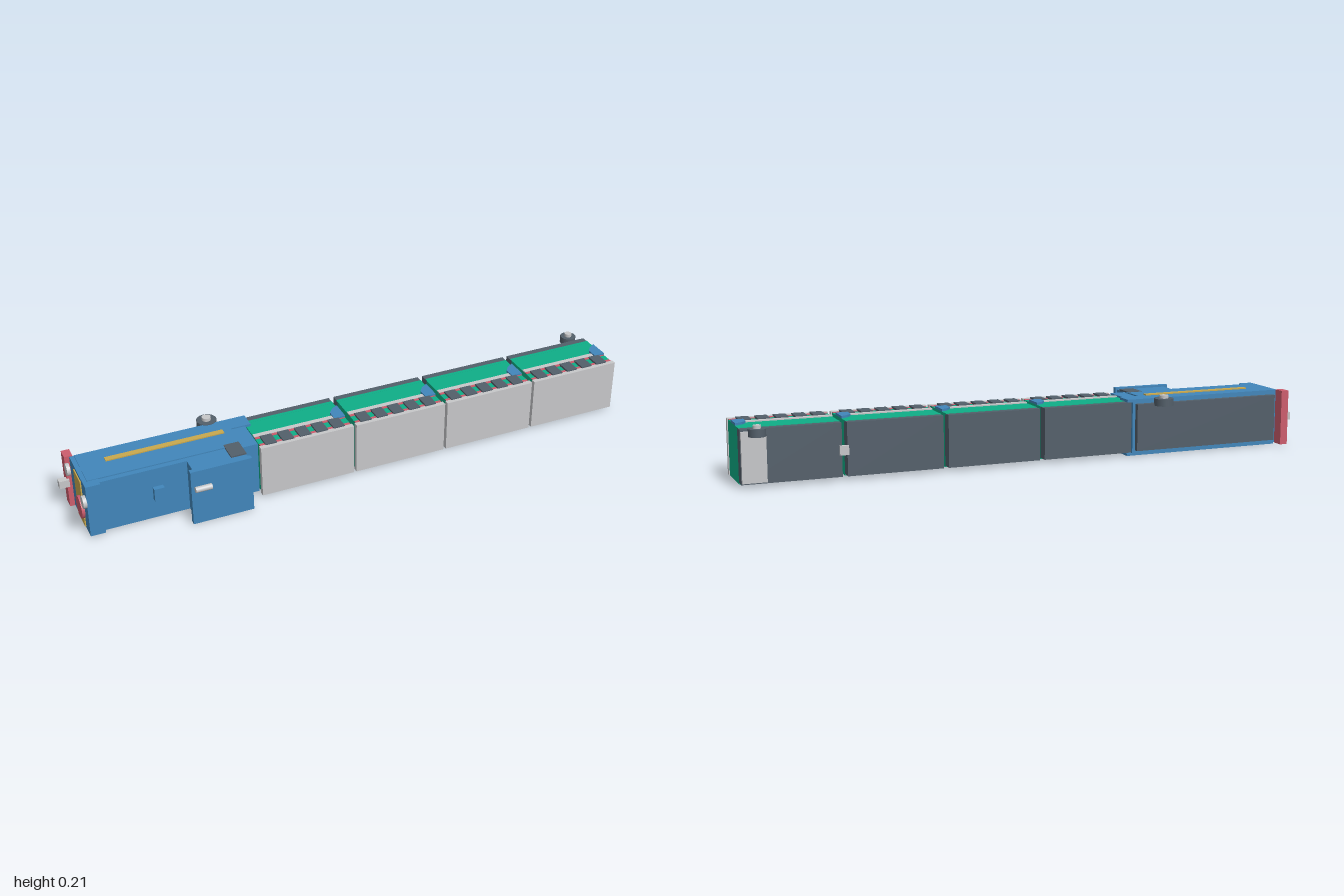
import * as THREE from 'three';

const mat = (name, color) => {
  const m = new THREE.MeshStandardMaterial({ color });
  m.name = name;
  return m;
};

export function createModel() {
  const model = new THREE.Group();
  model.name = 'modularMachine';
  const blue = mat('blue', 0x4186bb), green = mat('green', 0x0fae87), grey = mat('light grey', 0xc6c7c9);
  const dark = mat('dark grey', 0x535f6a), red = mat('red', 0xcc5d6d), yellow = mat('ochre', 0xc8a84e);

  // Box given by its extents on each axis
  const box = (parent, name, material, x0, x1, y0, y1, z0, z1) => {
    const mesh = new THREE.Mesh(new THREE.BoxGeometry(x1 - x0, y1 - y0, z1 - z0), material);
    mesh.position.set((x0 + x1) / 2, (y0 + y1) / 2, (z0 + z1) / 2);
    mesh.name = name;
    parent.add(mesh);
    return mesh;
  };
  // Cylinder along y or x, centred on a point
  const cyl = (parent, name, material, r, len, x, y, z, axis = 'y') => {
    const mesh = new THREE.Mesh(new THREE.CylinderGeometry(r, r, len, 28), material);
    if (axis === 'x') mesh.rotation.z = Math.PI / 2;
    mesh.position.set(x, y, z);
    mesh.name = name;
    parent.add(mesh);
    return mesh;
  };

  // Four equal bed modules
  for (let i = 0; i < 4; i++) {
    const g = new THREE.Group();
    g.name = 'bedModule' + (i + 1);
    const a = -0.37 + i * 0.3435, b = a + 0.334;
    box(g, 'core', green, a + 0.005, b - 0.003, 0.01, 0.193, -0.071, 0.08);
    box(g, 'topSheet', green, a + 0.005, b - 0.003, 0.188, 0.1935, -0.084, -0.071);
    box(g, 'backCover', dark, a + 0.005, b - 0.003, 0.015, 0.192, -0.109, -0.071);
    box(g, 'frontPanel', grey, a, b, 0.01, 0.196, 0.08, 0.098);
    box(g, 'guideRail', grey, a + 0.005, b - 0.004, 0.193, 0.197, 0.006, 0.024);
    box(g, 'markerStrip', red, a + 0.005, b - 0.004, 0.193, 0.1955, 0.024, 0.034);
    box(g, 'frontMarkerStrip', red, a + 0.005, b - 0.004, 0.193, 0.1945, 0.066, 0.08);
    for (let k = 0; k < 5; k++) {
      const x = a + 0.022 + k * 0.061;
      box(g, 'topPad', dark, x, x + 0.04, 0.193, 0.2, 0.029, 0.084);
    }
    // Clip at the joint
    const s = new THREE.Shape([[0.016, 0.03], [0.04, 0.045], [0.04, -0.028], [0, -0.028], [0, 0.01]]
      .map(([x, z]) => new THREE.Vector2(x, z)));
    const clip = new THREE.Mesh(new THREE.ExtrudeGeometry(s, { depth: 0.008, bevelEnabled: false }), blue);
    clip.rotation.x = -Math.PI / 2;
    clip.position.set(b - 0.043, 0.193, 0.003);
    clip.name = 'jointClip';
    g.add(clip);
    model.add(g);
  }
  box(model, 'backConnector', grey, 0.645, 0.675, 0.087, 0.118, -0.119, -0.105);
  box(model, 'rearEndPanel', grey, 0.91, 0.99, 0.02, 0.185, -0.118, -0.109);

  // Drive head housing
  const head = new THREE.Group();
  head.name = 'head';
  box(head, 'housing', blue, -0.94, -0.37, 0.01, 0.198, -0.109, 0.068);
  box(head, 'endFrame', blue, -0.955, -0.905, 0.01, 0.2, -0.109, 0.082);
  box(head, 'topPlate', blue, -0.94, -0.42, 0.197, 0.202, -0.109, 0.05);
  box(head, 'topTongue', blue, -0.42, -0.35, 0.192, 0.202, -0.109, -0.05);
  box(head, 'bottomTongue', blue, -0.94, -0.35, 0.004, 0.012, -0.109, -0.05);
  box(head, 'backPanel', dark, -0.93, -0.38, 0.022, 0.186, -0.127, -0.109);
  box(head, 'topStripe', yellow, -0.855, -0.45, 0.2, 0.206, -0.052, -0.031);
  box(head, 'endStripe', yellow, -0.959, -0.953, 0.015, 0.19, -0.05, 0.03);
  box(head, 'frontSwitch', blue, -0.735, -0.7, 0.084, 0.13, 0.066, 0.085);

  // Control block on the front
  box(head, 'controlBlock', blue, -0.615, -0.425, 0.01, 0.198, 0.066, 0.13);
  box(head, 'controlFace', blue, -0.63, -0.42, 0.003, 0.205, 0.13, 0.147);
  box(head, 'controlTopPanel', dark, -0.478, -0.425, 0.196, 0.203, 0.035, 0.11);
  cyl(head, 'handle', grey, 0.01, 0.056, -0.592, 0.143, 0.158, 'x');

  // End fittings
  box(head, 'endPost', red, -0.972, -0.944, 0.008, 0.203, -0.15, -0.109);
  box(head, 'endConnector', grey, -1, -0.965, 0.091, 0.118, -0.123, -0.1);
  cyl(head, 'endDial', red, 0.038, 0.01, -0.968, 0.105, 0.042, 'x');
  for (const z of [-0.085, 0.112]) cyl(head, 'endDisc', grey, 0.021, 0.012, -0.97, 0.17, z, 'x');
  model.add(head);

  // Rollers with hubs at the back
  for (const [x, z, r, top] of [[-0.477, -0.134, 0.034, 0.204], [0.943, -0.139, 0.028, 0.198]]) {
    cyl(model, 'roller', dark, r, 0.025, x, top - 0.0125, z);
    cyl(model, 'rollerHub', grey, r * 0.45, 0.022, x, top, z);
  }
  return model;
}
